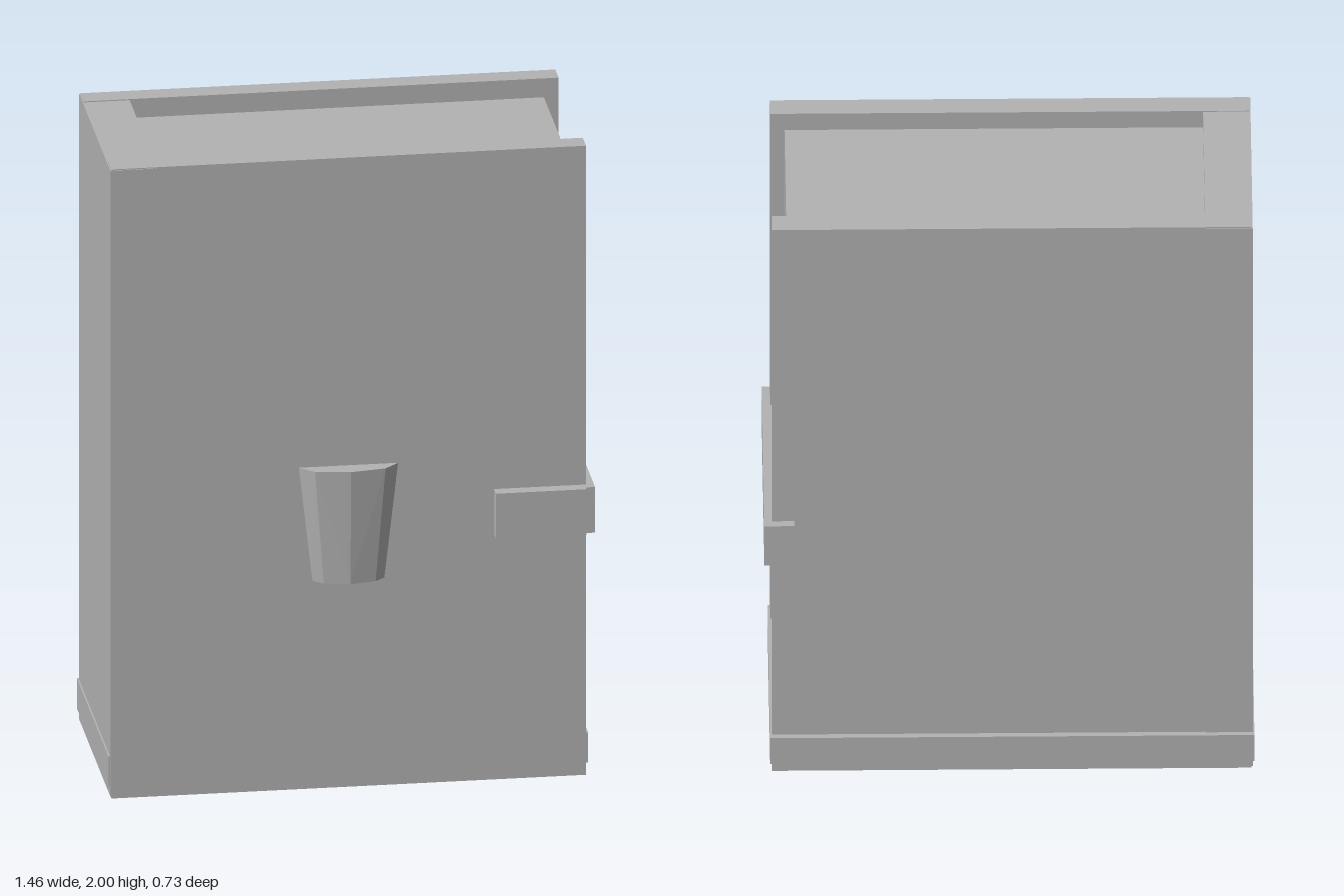
import * as THREE from 'three';
import { ConvexGeometry } from 'three/addons/geometries/ConvexGeometry.js';

export function createModel() {
  const model = new THREE.Group();
  const grey = new THREE.MeshStandardMaterial({ color: 0xb2b2b2 });
  grey.name = 'plain grey';

  const add = (name, geometry) => {
    const mesh = new THREE.Mesh(geometry, grey);
    mesh.name = name;
    model.add(mesh);
    return mesh;
  };
  // box given by its extents on each axis
  const box = (name, [x0, x1], [y0, y1], [z0, z1]) =>
    add(name, new THREE.BoxGeometry(x1 - x0, y1 - y0, z1 - z0))
      .position.set((x0 + x1) / 2, (y0 + y1) / 2, (z0 + z1) / 2);

  // book body: two covers, spine and the recessed page block
  box('frontCover', [-0.722, 0.704], [0, 2], [0.24, 0.308]);
  box('backCover', [-0.722, 0.704], [0, 2], [-0.342, -0.272]);
  box('spine', [-0.726, -0.585], [0.008, 1.997], [-0.345, 0.311]);
  box('pages', [-0.6, 0.66], [0.05, 1.94], [-0.275, 0.245]);

  // band around the foot of the book, flush with the front cover
  box('footBand', [-0.731, 0.711], [0.038, 0.134], [-0.36, 0.306]);

  // clasp strap: front tab, side run and short return on the back
  const strapY = [0.778, 0.923];
  box('claspFront', [0.428, 0.7], strapY, [0.3, 0.348]);
  box('claspSide', [0.698, 0.728], strapY, [-0.367, 0.333]);
  box('claspBack', [0.637, 0.728], strapY, [-0.367, -0.335]);

  // tapered, faceted emblem on the front cover: [y, outer, inner, shoulder z, ridge z]
  const points = [];
  const rings = [[1.022, 0.149, 0.106, 0.35, 0.367], [0.66, 0.108, 0.078, 0.336, 0.352]];
  for (const [y, outer, inner, shoulder, ridge] of rings) {
    for (const s of [-1, 1]) {
      points.push(new THREE.Vector3(s * outer - 0.01, y, 0.3));
      points.push(new THREE.Vector3(s * outer - 0.01, y, 0.309));
      points.push(new THREE.Vector3(s * inner - 0.01, y, shoulder));
    }
    points.push(new THREE.Vector3(-0.01, y, ridge));
  }
  add('emblem', new ConvexGeometry(points));

  return model;
}
